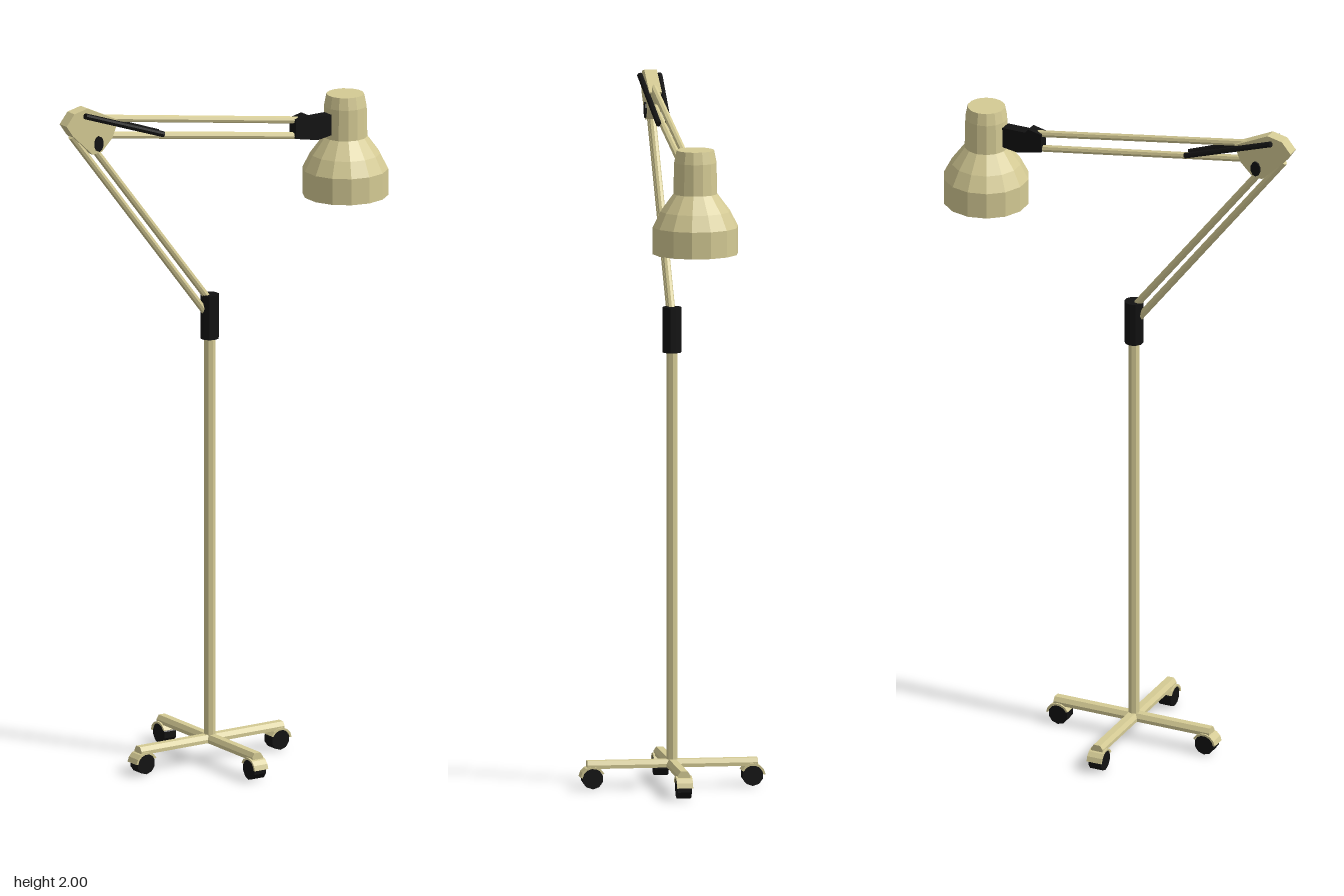
import * as THREE from 'three';

const cream = new THREE.MeshStandardMaterial({ color: 0xd4ca94, flatShading: true });
const creamOpen = new THREE.MeshStandardMaterial({ color: 0xd4ca94, flatShading: true, side: THREE.DoubleSide });
const black = new THREE.MeshStandardMaterial({ color: 0x121212, flatShading: true });

function add(parent, name, geometry, material, x = 0, y = 0, z = 0) {
  const mesh = new THREE.Mesh(geometry, material);
  mesh.name = name;
  mesh.position.set(x, y, z);
  parent.add(mesh);
  return mesh;
}

// Straight round rod between two points
function rod(parent, name, from, to, radius, material, sides = 8) {
  const a = new THREE.Vector3(...from), b = new THREE.Vector3(...to);
  const dir = b.clone().sub(a);
  const mesh = add(parent, name, new THREE.CylinderGeometry(radius, radius, dir.length(), sides), material);
  mesh.position.copy(a).add(b).multiplyScalar(0.5);
  mesh.quaternion.setFromUnitVectors(new THREE.Vector3(0, 1, 0), dir.normalize());
  return mesh;
}

// Side outline in the xy plane, extruded evenly to both sides of z = 0
function plate(points, depth) {
  const shape = new THREE.Shape(points.map(([x, y]) => new THREE.Vector2(x, y)));
  return new THREE.ExtrudeGeometry(shape, { depth, bevelEnabled: false }).translate(0, 0, -depth / 2);
}

// One leg with its caster, pointing along +x
function makeLeg() {
  const leg = new THREE.Group();
  leg.name = 'leg';
  const section = plate([[-0.018, 0.058], [0.018, 0.058], [0.018, 0.068], [0.01, 0.08], [-0.01, 0.08], [-0.018, 0.068]], 0.245);
  section.translate(0, 0, 0.1225).rotateY(Math.PI / 2);
  add(leg, 'legBar', section, cream);

  const wheel = new THREE.CylinderGeometry(0.03, 0.03, 0.04, 10).rotateX(Math.PI / 2);
  add(leg, 'casterWheel', wheel, black, 0.23, 0.03, 0);

  // Curved hood over the wheel
  const hood = [];
  for (let i = 0; i <= 6; i++) {
    const t = 0.1 + (i / 6) * 2.6;
    hood.push([0.036 * Math.cos(t), 0.035 * Math.sin(t)]);
  }
  for (let i = 6; i >= 0; i--) {
    const t = 0.1 + (i / 6) * 2.6;
    hood.push([0.03 * Math.cos(t), 0.029 * Math.sin(t)]);
  }
  add(leg, 'casterHood', plate(hood, 0.046), cream, 0.23, 0.03, 0);
  return leg;
}

export function createModel() {
  const model = new THREE.Group();
  model.name = 'floorLamp';

  // Everything lies along one arm plane, turned about the pole
  const lamp = new THREE.Group();
  lamp.name = 'lamp';
  lamp.position.set(-0.043, 0, 0.05);
  lamp.rotation.y = Math.atan2(1, 2);
  model.add(lamp);

  // Four-legged base
  for (let i = 0; i < 4; i++) {
    const leg = makeLeg();
    leg.rotation.y = (i * Math.PI) / 2;
    lamp.add(leg);
  }

  // Pole and sleeve
  rod(lamp, 'pole', [0, 0.06, 0], [0, 1.28, 0], 0.0165, cream);
  rod(lamp, 'poleSleeve', [0, 1.25, 0], [0, 1.38, 0], 0.027, black, 10);

  // Paired rods of the lower and upper arms
  rod(lamp, 'lowerArmRod', [0.006, 1.353, 0], [-0.419, 1.9, 0], 0.0105, cream);
  rod(lamp, 'lowerArmRod', [0, 1.31, 0], [-0.473, 1.92, 0], 0.0105, cream);
  rod(lamp, 'upperArmRod', [-0.43, 1.968, 0], [0.32, 1.844, 0], 0.0105, cream);
  rod(lamp, 'upperArmRod', [-0.4, 1.913, 0], [0.32, 1.798, 0], 0.0105, cream);

  // Elbow bracket and its pivot bolt
  const elbow = [[-0.502, 1.957], [-0.475, 1.99], [-0.43, 2.0], [-0.325, 1.95],
    [-0.345, 1.9], [-0.38, 1.865], [-0.412, 1.86], [-0.48, 1.925]];
  add(lamp, 'elbowBracket', plate(elbow, 0.036), cream);
  const bolt = add(lamp, 'elbowBolt', new THREE.CylinderGeometry(0.023, 0.023, 0.046, 10).rotateX(Math.PI / 2), black, -0.393, 1.89, 0);
  bolt.scale.x = 0.65;

  // Springs on both sides of the elbow
  for (const side of [-1, 1]) {
    rod(lamp, 'spring', [-0.445, 1.982, side * 0.028], [-0.168, 1.882, side * 0.014], 0.0085, black);
  }

  // Joint between arm and shade
  const joint = [[0.285, 1.853], [0.325, 1.862], [0.335, 1.85], [0.41, 1.85],
    [0.41, 1.79], [0.36, 1.782], [0.285, 1.797]];
  add(lamp, 'shadeJoint', plate(joint, 0.034), black);

  // Open bell shade with a closed top
  const profile = [[0.123, 1.603], [0.123, 1.68], [0.1, 1.725], [0.063, 1.775], [0.061, 1.865], [0.054, 1.9], [0, 1.9]];
  add(lamp, 'shade', new THREE.LatheGeometry(profile.map(([r, y]) => new THREE.Vector2(r, y)), 14), creamOpen, 0.465, 0, 0);

  return model;
}
